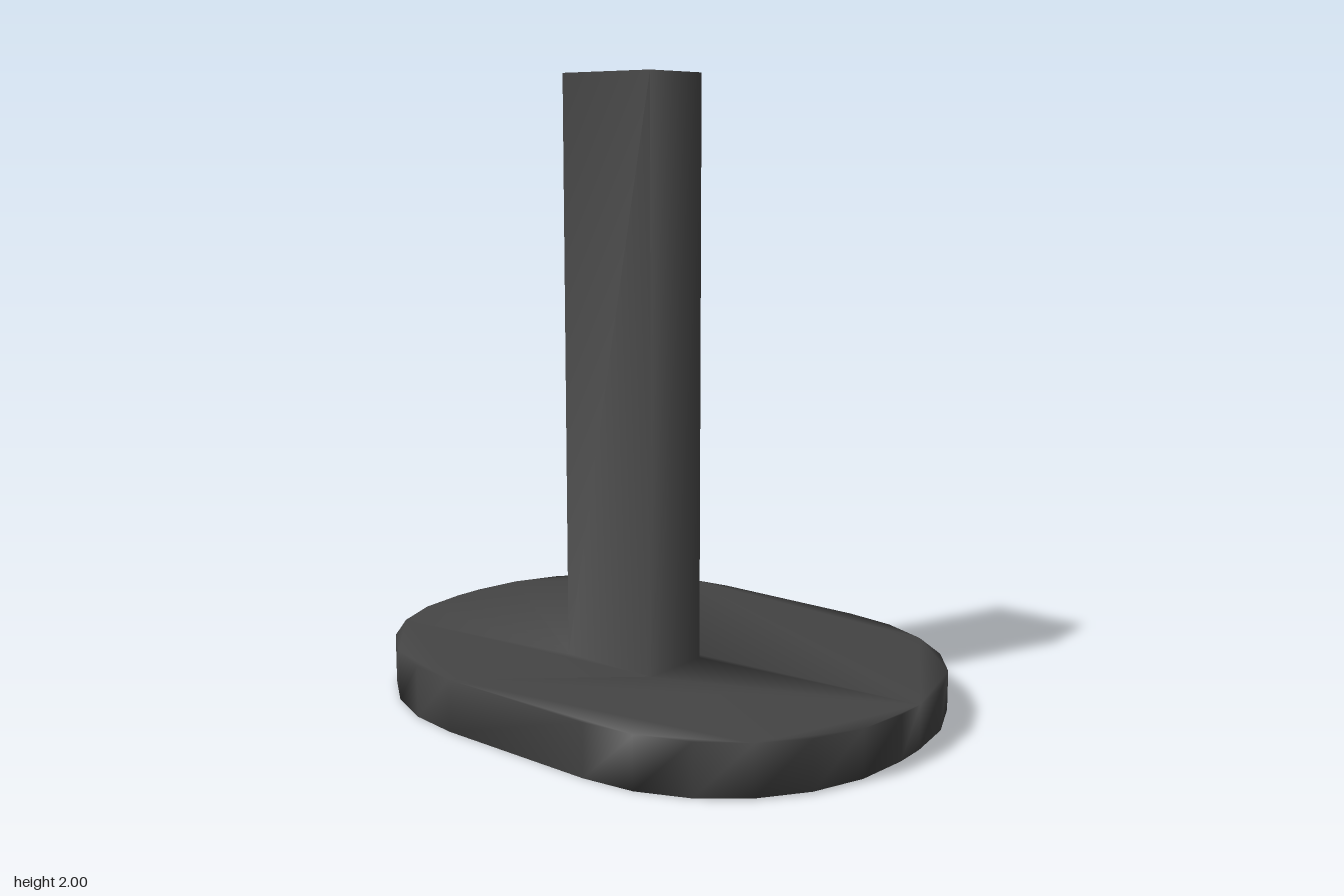
import * as THREE from 'three';

const TURN = 0.188;                             // the whole stand is turned slightly about y
const HALF_W = 0.932, HALF_D = 0.707, RADIUS = 0.655, STEPS = 6;
const STEM = { halfW: 0.173, halfD: 0.122, z: 0.156, top: 2 };

// The base is a wedge: thicker at the front than at the back
const topY = z => 0.155 + 0.0125 * z / HALF_D;
const bottomY = z => 0.013 * (1 - z / HALF_D);

// Rounded outline, counter-clockwise seen from above (2D y is -z)
function baseOutline() {
  const points = [];
  [[1, 1], [-1, 1], [-1, -1], [1, -1]].forEach(([sx, sy], corner) => {
    for (let i = 0; i <= STEPS; i++) {
      const a = (corner + i / STEPS) * Math.PI / 2;
      points.push(new THREE.Vector2(
        sx * (HALF_W - RADIUS) + RADIUS * Math.cos(a),
        sy * (HALF_D - RADIUS) + RADIUS * Math.sin(a)));
    }
  });
  return points;
}

function stemOutline() {
  return [[1, 1], [-1, 1], [-1, -1], [1, -1]].map(([sx, sy]) =>
    new THREE.Vector2(sx * STEM.halfW, sy * STEM.halfD - STEM.z));
}

export function createModel() {
  const outline = baseOutline(), stem = stemOutline();
  const n = outline.length, m = stem.length;
  const positions = [];

  // Add a ring of vertices and return the index of its first one
  const addRing = (ring, height) => {
    const start = positions.length / 3;
    ring.forEach(p => positions.push(p.x, height(-p.y), -p.y));
    return start;
  };
  const baseTop = addRing(outline, topY);
  const stemFoot = addRing(stem, topY);         // directly follows baseTop, as the hole indices need
  const baseBottom = addRing(outline, bottomY);
  const stemTop = addRing(stem, () => STEM.top);

  const wall = (low, high, count) => {
    const faces = [];
    for (let i = 0; i < count; i++) {
      const j = (i + 1) % count;
      faces.push(low + i, low + j, high + j, low + i, high + j, high + i);
    }
    return faces;
  };

  // Base: top surface around the stem, rim and underside
  const baseFaces = [
    ...THREE.ShapeUtils.triangulateShape(outline, [stem]).flat(),
    ...wall(baseBottom, baseTop, n),
    ...THREE.ShapeUtils.triangulateShape(outline, [])
      .flatMap(([a, b, c]) => [baseBottom + a, baseBottom + c, baseBottom + b])
  ];
  // Stem: four sides and a flat end
  const stemFaces = [
    ...wall(stemFoot, stemTop, m),
    stemTop, stemTop + 1, stemTop + 2, stemTop, stemTop + 2, stemTop + 3
  ];

  // Normals are averaged over both parts so the shading flows from base to stem
  const whole = new THREE.BufferGeometry();
  whole.setAttribute('position', new THREE.Float32BufferAttribute(positions, 3));
  whole.setIndex([...baseFaces, ...stemFaces]);
  whole.rotateY(-TURN);
  whole.computeVertexNormals();

  const material = new THREE.MeshStandardMaterial({ color: 0x444444 });
  const group = new THREE.Group();
  group.name = 'stand';
  for (const [name, faces] of [['base', baseFaces], ['stem', stemFaces]]) {
    const geometry = whole.clone();
    geometry.setIndex(faces);
    const mesh = new THREE.Mesh(geometry, material);
    mesh.name = name;
    group.add(mesh);
  }
  return group;
}
